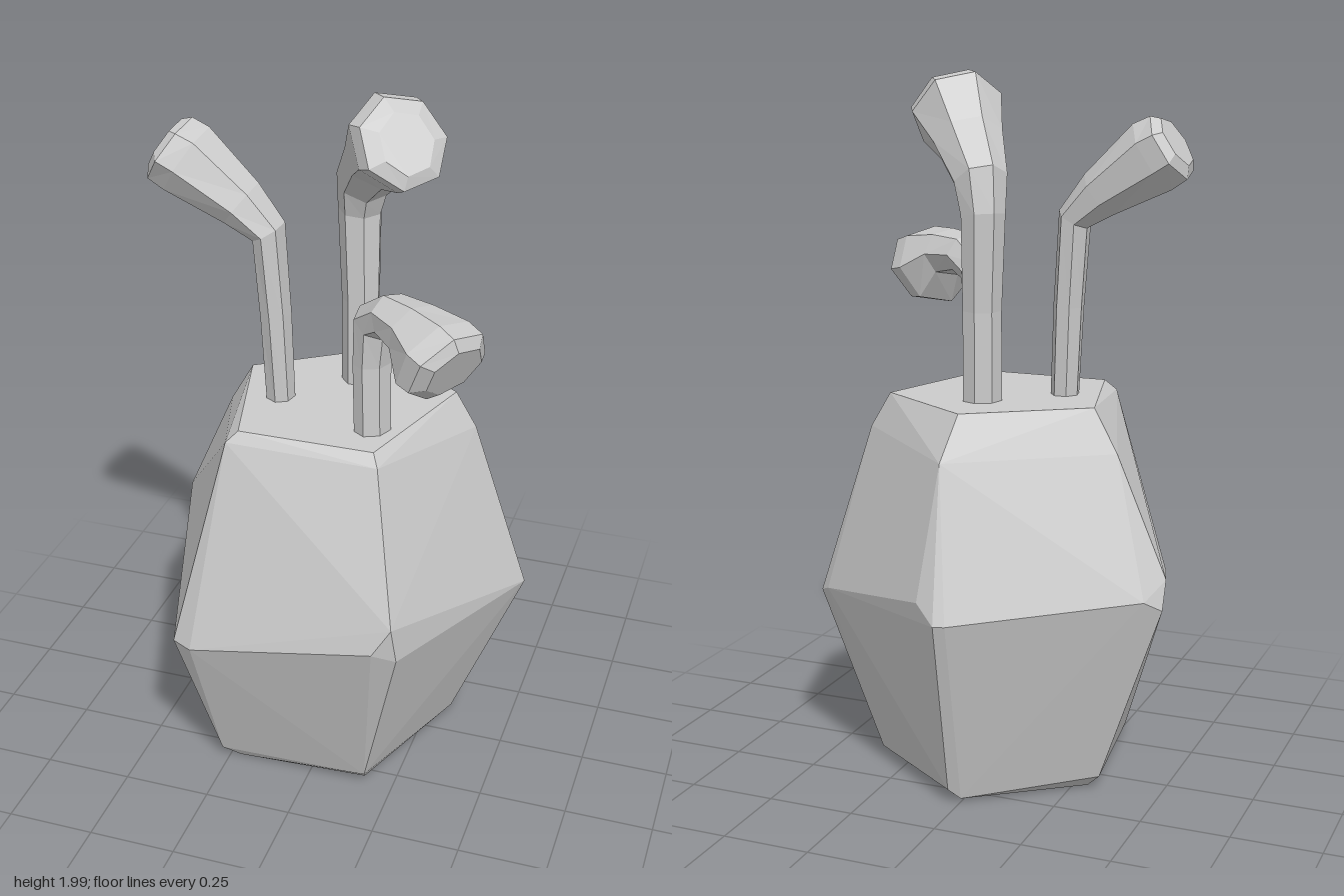
import * as THREE from 'three';
import { ConvexGeometry } from 'three/addons/geometries/ConvexGeometry.js';

const grey = new THREE.MeshStandardMaterial({ color: 0xcccccc, flatShading: true });

// Chiselled five-sided body: bevelled corners at the base, waist, shoulder and top
function makeBody() {
  const base = [
    [-0.22, 0, 0.3], [-0.27, 0.03, 0.32], [0.16, 0, 0.28], [0.17, 0.04, 0.32],
    [0.32, 0.02, -0.1], [0.33, 0.04, -0.13], [0, 0.01, -0.32], [0.03, 0.04, -0.34],
    [-0.29, 0, -0.08], [-0.33, 0.04, -0.1],
  ];
  const waist = [
    [-0.35, 0.49, 0.45], [-0.29, 0.49, 0.48], [0.29, 0.68, 0.48], [0.24, 0.6, 0.495], [0.3, 0.57, 0.46],
    [0.52, 0.5, -0.13], [0.48, 0.52, -0.17], [0, 0.57, -0.5], [-0.03, 0.57, -0.49],
    [0.06, 0.62, -0.47], [-0.52, 0.65, -0.12], [-0.52, 0.57, -0.15], [-0.48, 0.6, -0.19],
  ];
  const shoulder = [
    [-0.37, 0.98, -0.1], [0.36, 1.0, -0.11], [0.03, 0.98, -0.38],
    [-0.23, 1.07, 0.31], [0.2, 1.07, 0.32],
  ];
  const top = [
    [-0.2, 1.1, 0.29], [0.18, 1.1, 0.29], [0.3, 1.1, -0.11], [0.01, 1.1, -0.3], [-0.3, 1.1, -0.09],
  ];
  const points = [...base, ...waist, ...shoulder, ...top].map((p) => new THREE.Vector3(...p));
  return new THREE.Mesh(new ConvexGeometry(points), grey);
}

// Bent stalk lying in one vertical plane.
// rows: [distance along heading, height, lean in degrees, half width, half depth]
function makeStalk([bx, bz], [hx, hz], rows) {
  const sides = 7;
  const len = Math.hypot(hx, hz);
  const dx = hx / len, dz = hz / len;
  const pos = [], index = [];
  for (const [d, y, lean, w, h] of rows) {
    const a = THREE.MathUtils.degToRad(lean);
    for (let i = 0; i < sides; i++) {
      const t = ((i + 0.5) / sides) * Math.PI * 2;
      const u = w * Math.cos(t), v = h * Math.sin(t);
      const along = d - v * Math.cos(a);
      pos.push(bx + dx * along - dz * u, y + v * Math.sin(a), bz + dz * along + dx * u);
    }
  }
  for (let r = 0; r < rows.length - 1; r++) {
    for (let i = 0; i < sides; i++) {
      const a = r * sides + i, b = r * sides + ((i + 1) % sides);
      index.push(a, b + sides, b, a, a + sides, b + sides);
    }
  }
  // End caps
  const last = (rows.length - 1) * sides;
  for (let i = 1; i < sides - 1; i++) {
    index.push(0, i, i + 1, last, last + i + 1, last + i);
  }
  const geo = new THREE.BufferGeometry();
  geo.setAttribute('position', new THREE.Float32BufferAttribute(pos, 3));
  geo.setIndex(index);
  const flat = geo.toNonIndexed();
  flat.computeVertexNormals();
  const mat = grey.clone();
  mat.side = THREE.DoubleSide;
  return new THREE.Mesh(flat, mat);
}

export function createModel() {
  const group = new THREE.Group();
  const add = (name, mesh) => {
    mesh.name = name;
    group.add(mesh);
  };

  add('facetedBody', makeBody());

  add('rightStalk', makeStalk([-0.16, 0.06], [-1, 0], [
    [0, 1.08, 3, 0.045, 0.04], [0.01, 1.35, 4, 0.055, 0.042], [0.025, 1.59, 30, 0.065, 0.048],
    [0.1, 1.66, 52, 0.08, 0.07], [0.25, 1.765, 57, 0.105, 0.105],
    [0.295, 1.79, 57, 0.11, 0.1], [0.31, 1.805, 57, 0.08, 0.075],
  ]));

  add('backStalk', makeStalk([0.02, -0.11], [0.17, 0.2], [
    [0, 1.08, 0, 0.055, 0.05], [0, 1.35, -2, 0.055, 0.05], [-0.01, 1.61, 8, 0.062, 0.058],
    [0.01, 1.7, 38, 0.075, 0.075], [0.12, 1.8, 50, 0.1, 0.09],
    [0.22, 1.875, 55, 0.13, 0.135], [0.265, 1.885, 57, 0.12, 0.125], [0.285, 1.89, 57, 0.075, 0.085],
  ]));

  add('leftStalk', makeStalk([0.14, 0.165], [0.23, 0.15], [
    [0, 1.08, 0, 0.055, 0.045], [-0.005, 1.3, 2, 0.057, 0.045], [0.005, 1.42, 35, 0.062, 0.058],
    [0.07, 1.46, 75, 0.07, 0.06], [0.16, 1.455, 98, 0.09, 0.07],
    [0.24, 1.41, 112, 0.125, 0.12], [0.29, 1.4, 115, 0.125, 0.115], [0.315, 1.395, 115, 0.09, 0.08],
  ]));

  return group;
}
